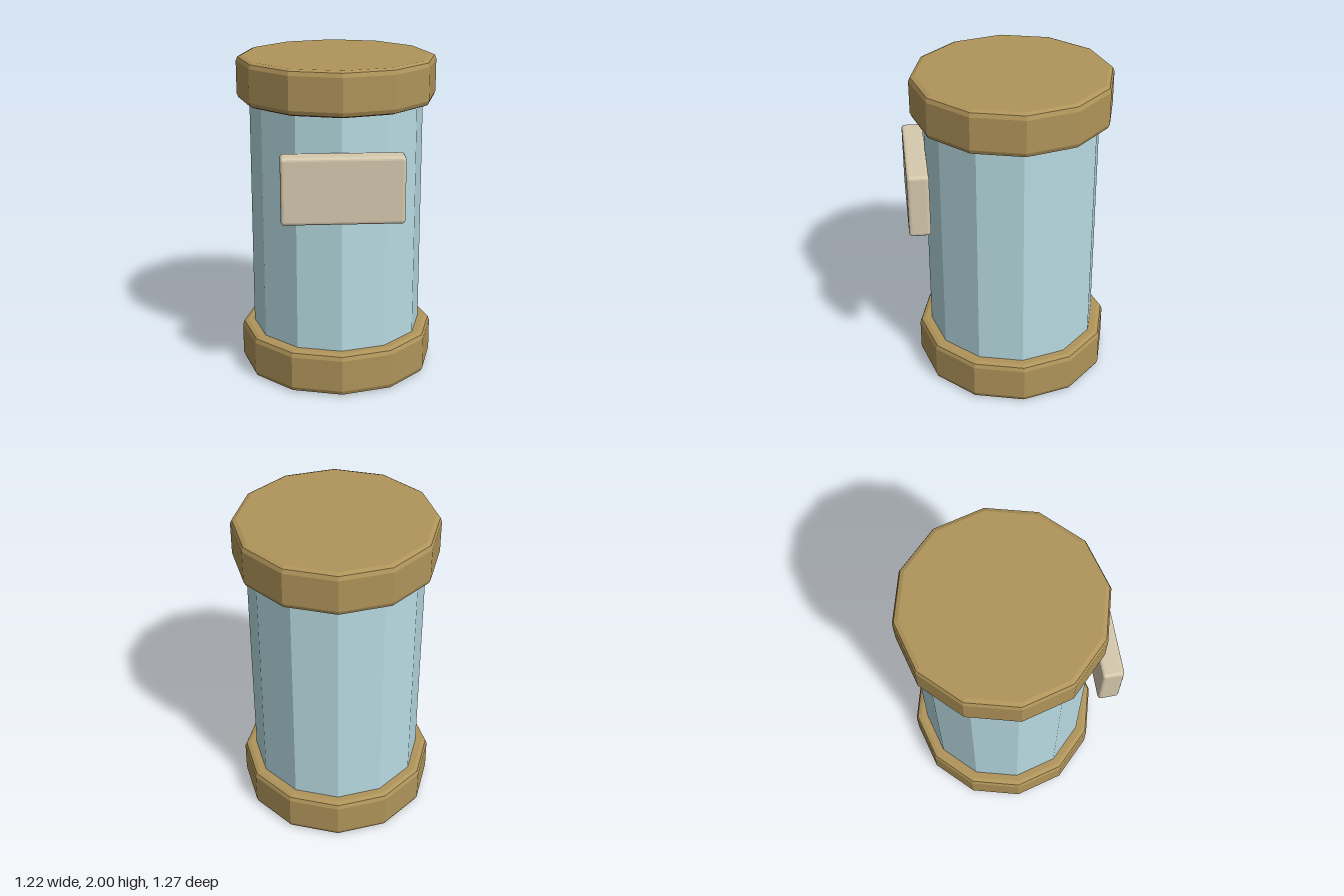
import * as THREE from 'three';
import { RoundedBoxGeometry } from 'three/addons/geometries/RoundedBoxGeometry.js';

const SIDES = 12;
const CENTRE_Z = -0.025;
const paint = (color) => new THREE.MeshStandardMaterial({ color, flatShading: true });

function addMesh(parent, name, geometry, material, y, z) {
  const mesh = new THREE.Mesh(geometry, material);
  mesh.name = name;
  mesh.position.set(0, y, z);
  parent.add(mesh);
}

// Closed twelve-sided disc with softly bevelled rims
function capGeometry(radius, height, bevel) {
  const profile = [new THREE.Vector2(0, 0)];
  for (const [centreY, start] of [[bevel, -Math.PI / 2], [height - bevel, 0]]) {
    for (let i = 0; i <= 2; i++) {
      const a = start + (i * Math.PI) / 4;
      profile.push(new THREE.Vector2(
        i === 0 && start < 0 ? radius - bevel : radius - bevel + bevel * Math.cos(a),
        centreY + bevel * Math.sin(a)));
    }
  }
  profile.push(new THREE.Vector2(0, height));
  return new THREE.LatheGeometry(profile, SIDES);
}

export function createModel() {
  const model = new THREE.Group();
  model.name = 'canister';

  // Faceted body, its ends tucked into the caps
  const body = new THREE.CylinderGeometry(0.535, 0.535, 1.76, SIDES);
  addMesh(model, 'body', body, paint(0xb8dbe2), 1, CENTRE_Z);

  // Matching caps at the bottom and top
  const capMaterial = paint(0xb0945a);
  const cap = capGeometry(0.612, 0.27, 0.035);
  addMesh(model, 'bottomCap', cap, capMaterial, 0, CENTRE_Z);
  addMesh(model, 'topCap', cap, capMaterial, 1.73, CENTRE_Z);

  // Blank label plate on the front
  const plate = new RoundedBoxGeometry(0.72, 0.4, 0.13, 2, 0.02);
  addMesh(model, 'labelPlate', plate, paint(0xd6c9ae), 1.32, 0.57);

  return model;
}
